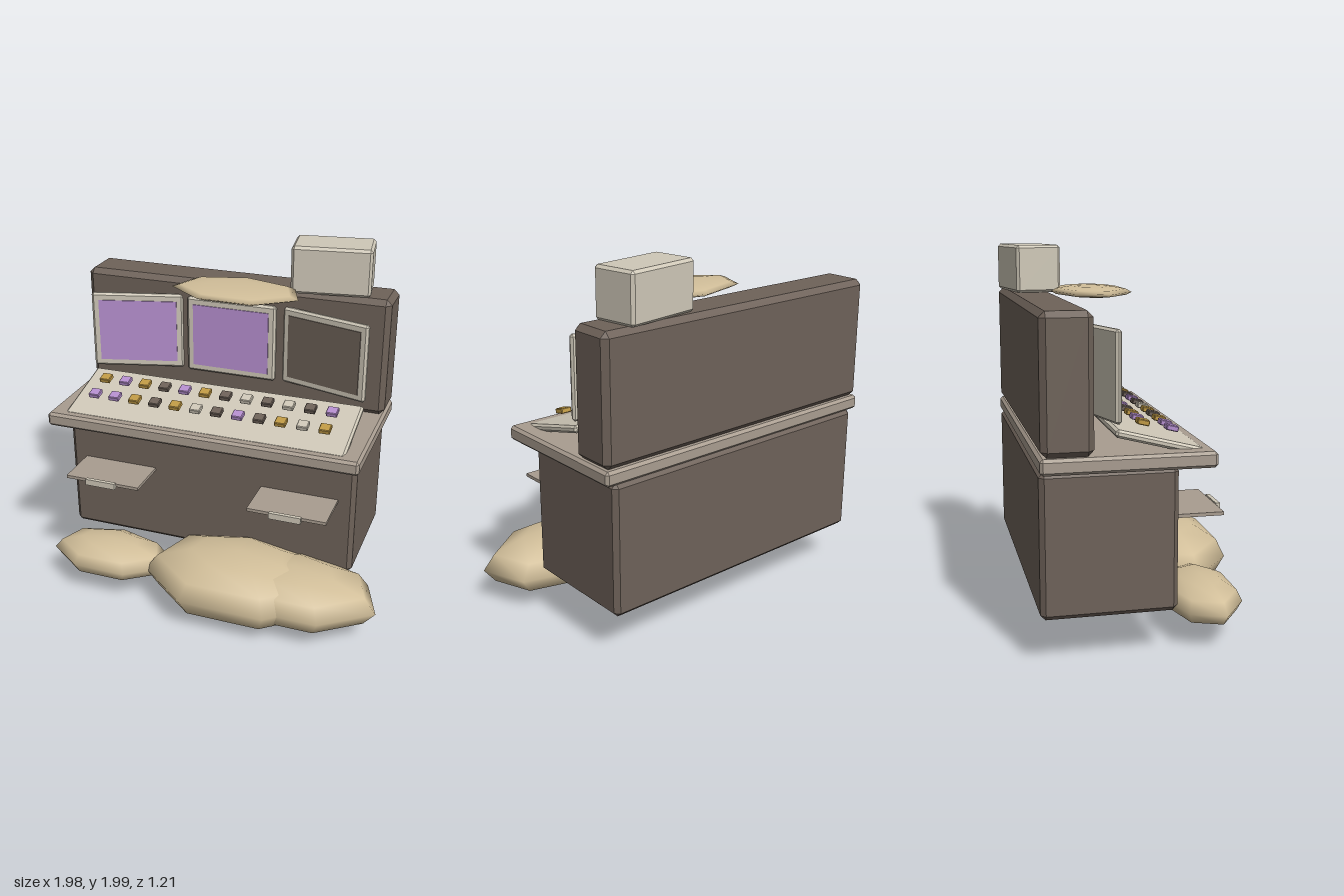
import * as THREE from 'three';
import { ConvexGeometry } from 'three/addons/geometries/ConvexGeometry.js';

const material = (name, color) => {
  const m = new THREE.MeshStandardMaterial({ color });
  m.name = name;
  return m;
};

// Box with flat chamfered edges, centred on its origin
function chamferBox(w, h, d, c) {
  const points = [];
  for (const x of [-1, 1]) for (const y of [-1, 1]) for (const z of [-1, 1]) {
    const [a, b, e] = [x * w / 2, y * h / 2, z * d / 2];
    points.push(
      new THREE.Vector3(a, b - y * c, e - z * c),
      new THREE.Vector3(a - x * c, b, e - z * c),
      new THREE.Vector3(a - x * c, b - y * c, e));
  }
  return new ConvexGeometry(points);
}

// Smooth seven-sided pebble with one corner pointing back
function pebble(rx, ry, rz) {
  return new THREE.SphereGeometry(1, 7, 6).rotateY(-Math.PI / 2).scale(rx, ry, rz);
}

export function createModel() {
  const model = new THREE.Group();
  const brown = material('dark brown', 0x6e6259);
  const taupe = material('taupe', 0xa99d90);
  const cream = material('cream', 0xcfc8b8);
  const purple = material('purple', 0xb68fcf);
  const gold = material('gold', 0xc09a45);
  const sand = material('sand', 0xd2bf9a);

  const add = (name, geometry, mat, x, y, z, parent = model) => {
    const mesh = new THREE.Mesh(geometry, mat);
    mesh.name = name;
    mesh.position.set(x, y, z);
    parent.add(mesh);
    return mesh;
  };
  const mid = -0.083; // centre line of the desk

  // Cabinet, counter and upright back
  add('lowerCabinet', chamferBox(1.725, 0.73, 0.68, 0.025), brown, mid, 0.615, -0.26);
  add('counter', chamferBox(1.815, 0.08, 0.86, 0.015), taupe, mid, 1.015, -0.17);
  add('backCabinet', chamferBox(1.81, 0.68, 0.255, 0.03), brown, mid, 1.395, -0.467);

  // Three monitors, the outer two turned inwards
  const monitors = [
    ['leftmostMonitor', -0.645, -0.277, 0.27, purple],
    ['centreMonitor', mid - 0.003, -0.33, 0, purple],
    ['rightmostMonitor', 0.482, -0.277, -0.27, brown]];
  for (const [name, x, z, turn, screen] of monitors) {
    const monitor = new THREE.Group();
    monitor.name = name;
    monitor.position.set(x, 1.413, z);
    monitor.rotation.y = turn;
    add('monitorFrame', chamferBox(0.535, 0.45, 0.035, 0.012), cream, 0, 0, 0, monitor);
    add('screen', new THREE.BoxGeometry(0.455, 0.368, 0.008), screen, 0, 0, 0.019, monitor);
    model.add(monitor);
  }

  // Sloping control panel with two rows of floating keys
  const tilt = 0.25;
  add('controlPanel', chamferBox(1.635, 0.04, 0.45, 0.012), cream, mid, 1.09, -0.005).rotation.x = tilt;
  const keyColours = { p: purple, g: gold, d: brown, c: cream };
  const keyGeometry = chamferBox(0.062, 0.028, 0.062, 0.004);
  const rows = [['gpgdpgdcdcdp', 1.172, -0.063], ['ppgdgcdpdgcg', 1.137, 0.083]];
  for (const [colours, y, z] of rows) {
    [...colours].forEach((c, i) => {
      add('key', keyGeometry, keyColours[c], -0.765 + i * 0.1236, y, z).rotation.x = tilt;
    });
  }

  // Pull-out shelves with handles
  for (const x of [-0.628, 0.462]) {
    add('pullOutShelf', new THREE.BoxGeometry(0.445, 0.018, 0.28), taupe, x, 0.706, 0.195);
    add('shelfHandle', new THREE.BoxGeometry(0.18, 0.036, 0.022), cream, x - 0.003, 0.705, 0.345);
  }

  // Box standing on top
  add('topBox', chamferBox(0.44, 0.265, 0.255, 0.015), cream, 0.467, 1.867, -0.452).rotation.y = 0.147;

  // Rounded lumps on the floor and one flat one above
  add('flatLump', pebble(0.373, 0.032, 0.217), sand, 0, 1.759, -0.175);
  add('smallLump', pebble(0.36, 0.115, 0.206), sand, -0.615, 0.205, 0.284);
  add('bigLump', pebble(0.56, 0.197, 0.358), sand, 0.18, 0.205, 0.28);
  add('sideLump', pebble(0.508, 0.165, 0.3), sand, 0.49, 0.205, 0.28);

  return model;
}
